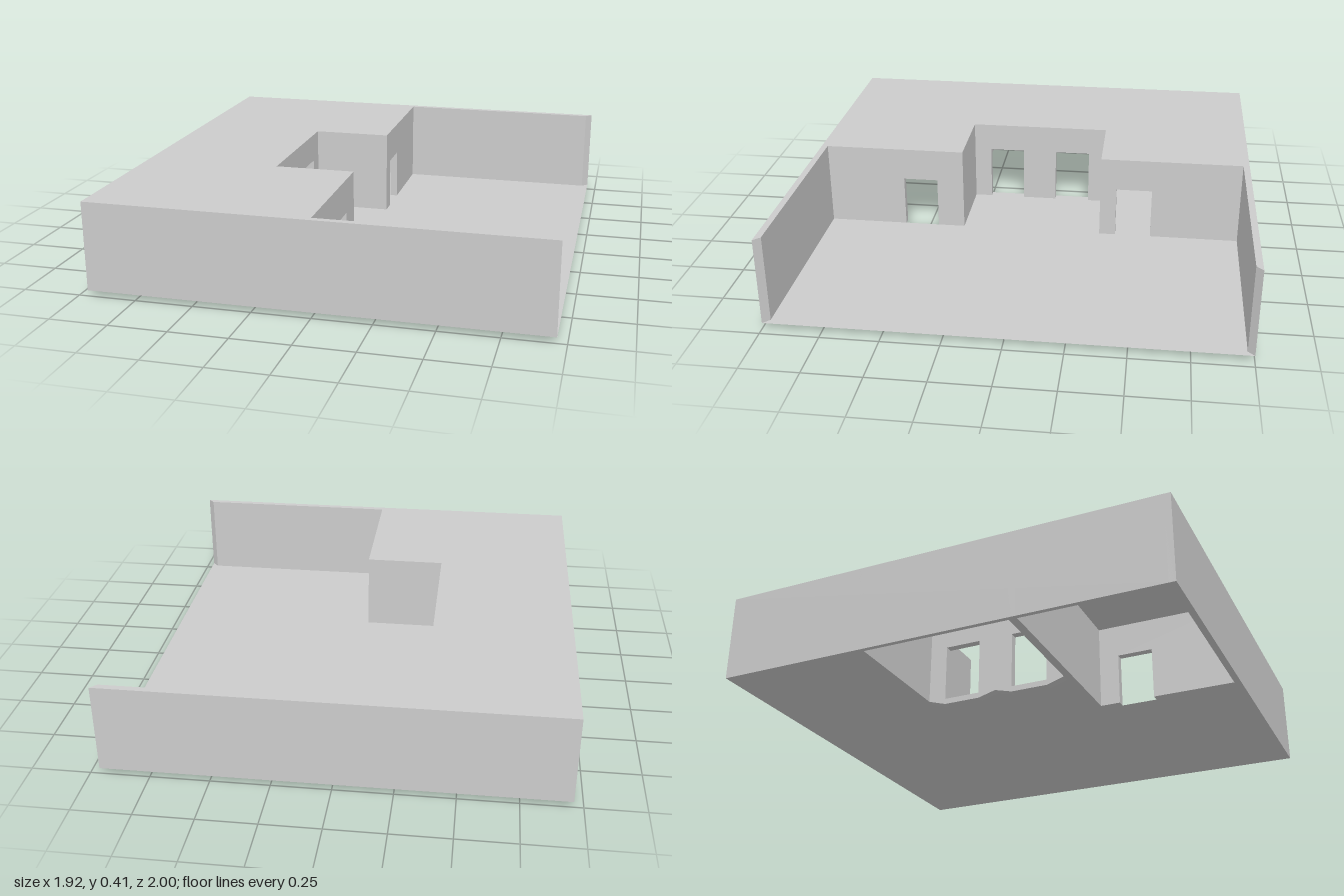
import * as THREE from 'three';

const FLOOR = 0.025, TOP = 0.41;
const solid = new THREE.MeshStandardMaterial({ color: 0xcccccc, flatShading: true });
const sheet = new THREE.MeshStandardMaterial({ color: 0xcccccc, flatShading: true, side: THREE.DoubleSide });

const toShape = (points) => new THREE.Shape(points.map(([a, b]) => new THREE.Vector2(a, b)));

export function createModel() {
  const model = new THREE.Group();

  const add = (name, geometry, material = solid) => {
    const mesh = new THREE.Mesh(geometry, material);
    mesh.name = name;
    model.add(mesh);
  };

  // flat sheet from a plan outline of (x, z) points
  const addSheet = (name, plan, y) => {
    const g = new THREE.ShapeGeometry(toShape(plan));
    g.rotateX(Math.PI / 2);
    g.translate(0, y, 0);
    add(name, g, sheet);
  };

  // full-height wall from a plan outline of (x, z) points
  const addWall = (name, plan) => {
    const g = new THREE.ExtrudeGeometry(toShape(plan), { depth: TOP - FLOOR, bevelEnabled: false });
    g.rotateX(Math.PI / 2);
    g.translate(0, TOP, 0);
    add(name, g);
  };

  // wall facing +x from an elevation of (z, y) points, its front at x
  const addElevation = (name, outline, x, thickness, holes = []) => {
    const s = toShape(outline);
    holes.forEach((h) => s.holes.push(toShape(h)));
    const g = new THREE.ExtrudeGeometry(s, { depth: thickness, bevelEnabled: false });
    g.rotateY(-Math.PI / 2);
    g.translate(x, 0, 0);
    add(name, g);
  };

  // ground: yard, courtyard recess and the floor of the back room only
  addSheet('ground', [
    [0.96, 1], [0.96, -1], [-0.96, -1], [-0.96, -0.36], [0, -0.36], [0, -0.325],
    [-0.355, -0.325], [-0.355, 0.325], [0, 0.325], [0, 1],
  ], FLOOR);

  // U-shaped roof around the recess
  addSheet('roof', [
    [-0.96, -1], [0, -1], [0, -0.325], [-0.355, -0.325],
    [-0.355, 0.325], [0, 0.325], [0, 1], [-0.96, 1],
  ], TOP);

  // outer wall behind the rooms
  addWall('rearWall', [[-0.96, -1], [-0.94, -1], [-0.94, 1], [-0.96, 1]]);

  for (const [side, s] of [['left', 1], ['right', -1]]) {
    // long boundary wall with a mitred free end
    addWall(side === 'left' ? 'frontBoundaryWall' : 'backBoundaryWall',
      [[-0.96, s], [0.96, s], [0.932, s * 0.972], [-0.96, s * 0.972]]);

    // partition between the middle room and the end room
    addWall(side === 'left' ? 'frontPartition' : 'backPartition',
      [[-0.96, s * 0.325], [0, s * 0.325], [0, s * 0.36], [-0.96, s * 0.36]]);
  }

  // walls of the two end rooms, each with a doorway down to the floor
  const endRoomWall = (name, z0, z1, d0, d1) => addElevation(name, [
    [z0, FLOOR], [d0, FLOOR], [d0, 0.26], [d1, 0.26],
    [d1, FLOOR], [z1, FLOOR], [z1, TOP], [z0, TOP],
  ], 0, 0.035);
  endRoomWall('frontRoomWall', 0.325, 1, 0.45, 0.61);
  endRoomWall('backRoomWall', -1, -0.325, -0.565, -0.4);

  // recessed wall: two doorways, each above a sill that dips below the floor
  const doorway = (s) => [
    [s * 0.08, FLOOR], [s * 0.245, FLOOR], [s * 0.245, 0.28], [s * 0.08, 0.28],
  ];
  addElevation('recessedWall', [
    [-0.325, FLOOR], [-0.245, 0], [-0.08, 0], [0, FLOOR - 0.003],
    [0.08, 0], [0.245, 0], [0.325, FLOOR], [0.325, TOP], [-0.325, TOP],
  ], -0.355, 0.035, [doorway(1), doorway(-1)]);

  return model;
}
